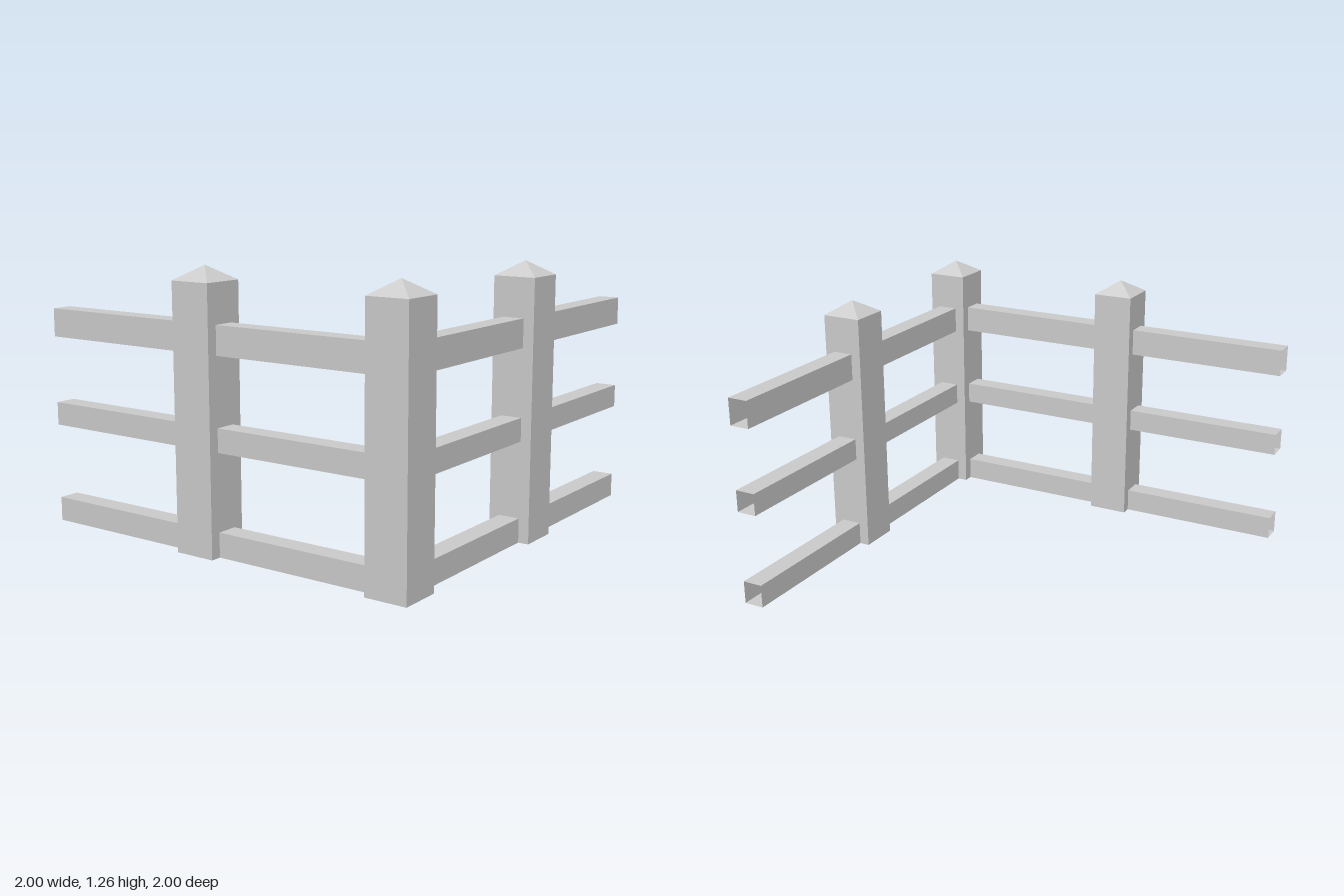
import * as THREE from 'three';

const POST_W = 0.2, POST_H = 1.2, CAP_H = 0.065, RAIL_W = 0.1;
// Bottom and top height of each rail
const RAILS = { lowerRail: [0, 0.113], middleRail: [0.467, 0.575], upperRail: [0.888, 1.02] };

const solid = new THREE.MeshStandardMaterial({ color: 0xcccccc, flatShading: true });
const open = new THREE.MeshStandardMaterial({ color: 0xcccccc, flatShading: true, side: THREE.DoubleSide });

function part(name, geometry, material, x, y, z) {
  const mesh = new THREE.Mesh(geometry, material);
  mesh.name = name;
  mesh.position.set(x, y, z);
  return mesh;
}

// Square post with a low pyramid cap
function makePost(name, x, z) {
  const post = new THREE.Group();
  post.name = name;
  post.position.set(x, 0, z);
  const cap = new THREE.ConeGeometry(POST_W / Math.SQRT2, CAP_H, 4, 1, true).rotateY(Math.PI / 4);
  post.add(
    part('postShaft', new THREE.BoxGeometry(POST_W, POST_H, POST_W), solid, 0, POST_H / 2, 0),
    part('postCap', cap, solid, 0, POST_H + CAP_H / 2, 0)
  );
  return post;
}

// Hollow rail along x, open at both ends
function railGeometry(length, height) {
  const g = new THREE.BoxGeometry(length, height, RAIL_W);
  g.setIndex(Array.from(g.index.array).slice(12)); // drop the two end faces
  g.clearGroups();
  return g;
}

// Three rails in each of the two bays of one fence side
function makeRails(name, alongZ) {
  const side = new THREE.Group();
  side.name = name;
  for (const [from, to] of [[-1, -0.2], [0, 0.8]]) {
    for (const [railName, [y0, y1]] of Object.entries(RAILS)) {
      const g = railGeometry(to - from, y1 - y0);
      if (alongZ) g.rotateY(Math.PI / 2);
      const mid = (from + to) / 2, y = (y0 + y1) / 2;
      side.add(part(railName, g, open, alongZ ? 0.9 : mid, y, alongZ ? mid : 0.9));
    }
  }
  return side;
}

export function createModel() {
  const fence = new THREE.Group();
  fence.name = 'cornerFence';
  fence.add(
    makePost('cornerPost', 0.9, 0.9),
    makePost('frontPost', -0.1, 0.9),
    makePost('sidePost', 0.9, -0.1),
    makeRails('frontRails', false),
    makeRails('sideRails', true)
  );
  return fence;
}
